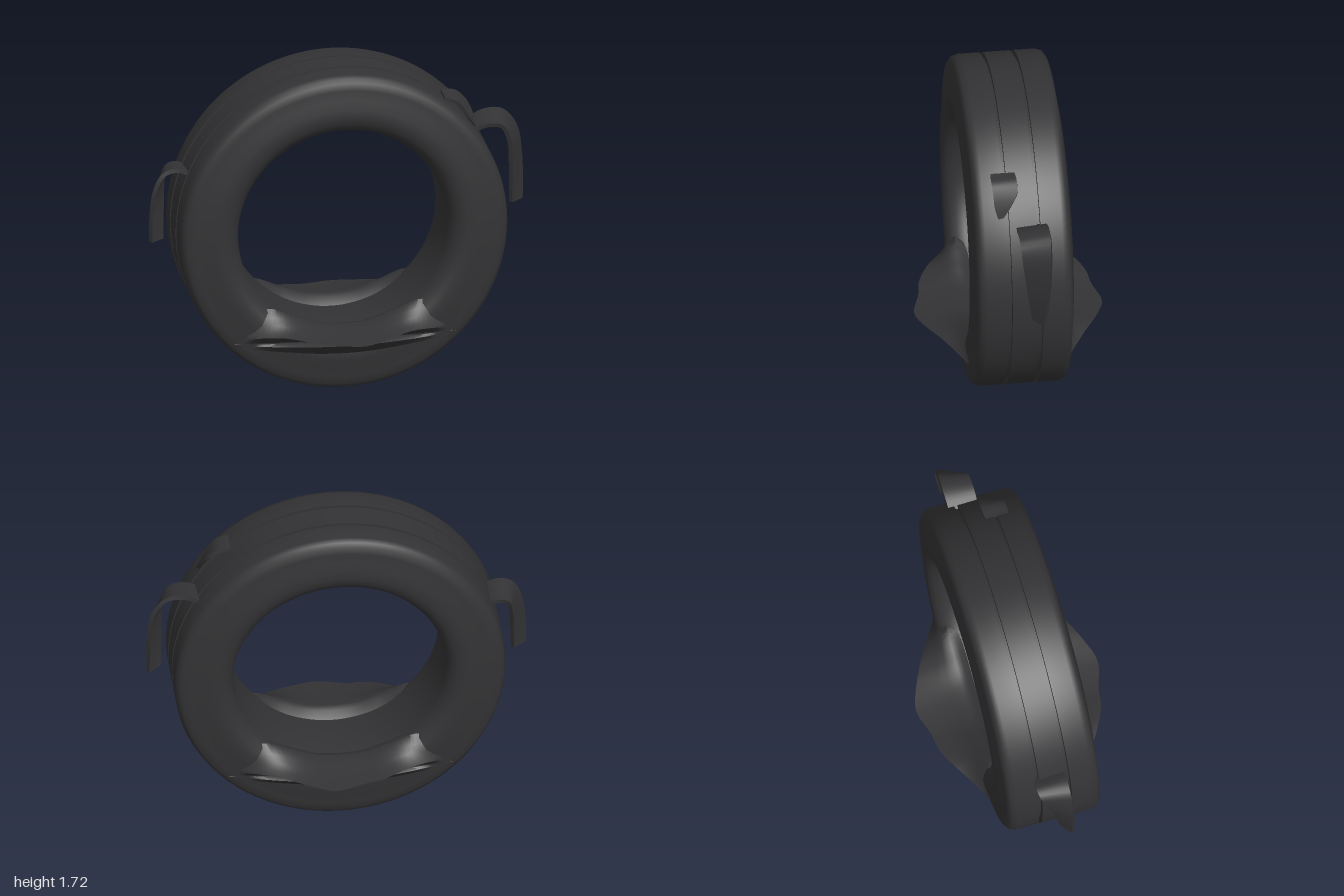
import * as THREE from 'three';
import { toCreasedNormals } from 'three/addons/utils/BufferGeometryUtils.js';

const R = 0.86;
const HOLE = 0.55;
const rubber = new THREE.MeshStandardMaterial({ color: 0x333335, side: THREE.DoubleSide });
const solidRubber = new THREE.MeshStandardMaterial({ color: 0x333335 });
const lerp = THREE.MathUtils.lerp;

// Surface through equal-length rows of points
function loft(rows, closed = false, flip = false, crease = 0.8) {
  const n = rows[0].length;
  const pos = rows.flat().flatMap((p) => [p.x, p.y, p.z]);
  const index = [];
  for (let i = 0; i < rows.length - 1; i++) {
    for (let j = 0; j < (closed ? n : n - 1); j++) {
      const a = i * n + j, b = i * n + (j + 1) % n, c = a + n, d = b + n;
      if (flip) index.push(a, c, b, b, c, d);
      else index.push(a, b, c, b, d, c);
    }
  }
  if (closed) {
    const last = (rows.length - 1) * n;
    for (let j = 1; j < n - 1; j++) {
      index.push(0, j + 1, j, last, last + j, last + j + 1);
    }
  }
  const g = new THREE.BufferGeometry();
  g.setAttribute('position', new THREE.Float32BufferAttribute(pos, 3));
  g.setIndex(index);
  return toCreasedNormals(g, crease);
}

// Interpolates smoothly through [x, value] pairs
function curveThrough(pairs) {
  const spline = new THREE.SplineCurve(pairs.map(([x, v]) => new THREE.Vector2(x, v)));
  const pts = spline.getPoints(100);
  return (x) => {
    let i = 0;
    while (i < pts.length - 2 && pts[i + 1].x < x) i++;
    const t = (x - pts[i].x) / (pts[i + 1].x - pts[i].x);
    return lerp(pts[i].y, pts[i + 1].y, THREE.MathUtils.clamp(t, 0, 1));
  };
}

// Tyre body: closed profile with two tread grooves, rounded shoulders and bead
function makeTyre() {
  const tread = [[0.83, -0.245], [0.85, -0.23], [R, -0.2]];
  for (const z of [-0.08, 0.08]) {
    tread.push([R, z - 0.009], [R - 0.03, z - 0.009], [R - 0.03, z + 0.009], [R, z + 0.009]);
  }
  tread.push([R, 0.2], [0.85, 0.23], [0.83, 0.245]);
  const side = [[0.79, 0.25], [0.74, 0.257], [0.69, 0.267], [0.645, 0.27], [0.61, 0.262],
    [0.58, 0.243], [0.56, 0.21], [HOLE, 0.17]];
  const back = side.map(([r, z]) => [r, -z]).reverse();
  const profile = [...tread, ...side, ...back, tread[0]].map(([r, z]) => new THREE.Vector2(r, z));
  const g = toCreasedNormals(new THREE.LatheGeometry(profile, 112), 0.65);
  const mesh = new THREE.Mesh(g, solidRubber);
  mesh.name = 'tyreBody';
  mesh.rotation.x = Math.PI / 2;
  mesh.position.y = R;
  return mesh;
}

const lipTop = curveThrough([[-0.58, 0.33], [-0.5, 0.41], [-0.4, 0.465], [-0.25, 0.41], [-0.1, 0.362],
  [0.1, 0.362], [0.25, 0.41], [0.4, 0.465], [0.5, 0.41], [0.58, 0.33]]);
const lipReach = curveThrough([[-0.58, -0.02], [-0.5, 0.02], [-0.4, 0.08], [-0.3, 0.14], [-0.2, 0.185],
  [-0.1, 0.2], [0, 0.232], [0.05, 0.238], [0.1, 0.23], [0.2, 0.19], [0.3, 0.14], [0.4, 0.08],
  [0.5, 0.02], [0.58, -0.02]]);
const lipEdge = curveThrough([[-0.58, 0.3], [-0.35, 0.348], [-0.2, 0.338], [-0.1, 0.328], [0.04, 0.322],
  [0.15, 0.33], [0.25, 0.342], [0.35, 0.345], [0.58, 0.3]]);

// Upper lip: a flared ledge sweeping out of the sidewall
function upperLip(side) {
  const rows = [];
  for (let i = 0; i <= 48; i++) {
    const x = lerp(-0.58, 0.58, i / 48);
    const top = lipTop(x), p = lipReach(x), e = lipEdge(x);
    const hole = R - Math.sqrt(Math.max(0.04, HOLE * HOLE - x * x)) - 0.02;
    const section = [[Math.min(hole, top), 0.14], [top - 0.008, 0.19], [top, 0.225],
      [lerp(top, e, 0.3), 0.25 + 0.17 * p], [lerp(top, e, 0.6), 0.25 + 0.42 * p],
      [lerp(top, e, 0.85), 0.25 + 0.72 * p], [e, 0.25 + p],
      [lerp(e, 0.288, 0.6), 0.25 + 0.5 * p], [0.285, 0.25 + 0.1 * p], [0.28, 0.22]];
    rows.push(section.map(([y, z]) => new THREE.Vector3(x, y, z * side)));
  }
  return loft(rows, false, side < 0, 0.9);
}

// Lower lip: a shorter slanted ledge beneath it
function lowerLip(side) {
  const rows = [];
  for (let i = 0; i <= 32; i++) {
    const u = lerp(-1, 1, i / 32), x = u * 0.54;
    const p = 0.1 * Math.pow(Math.cos(u * Math.PI / 2), 0.9) - 0.015;
    const low = 0.195 + 0.07 * u * u;
    const section = [[0.288, 0.2], [0.284, 0.25 + 0.6 * p], [0.272, 0.25 + p],
      [lerp(0.272, low, 0.5), 0.25 + 0.5 * p], [low, 0.25 + 0.08 * p], [low - 0.005, 0.21]];
    rows.push(section.map(([y, z]) => new THREE.Vector3(x, y, z * side)));
  }
  return loft(rows, false, side < 0, 0.7);
}

// Loose strip of rubber: each station gives its two edges [x, y, z, x, y, z]
function makeFlap(name, stations, thickness) {
  const edge = (k) => new THREE.CatmullRomCurve3(
    stations.map((s) => new THREE.Vector3(s[k], s[k + 1], s[k + 2]))).getPoints(20);
  const a = edge(0), b = edge(3);
  const rows = a.map((p, i) => {
    const q = b[i];
    const along = a[Math.min(i + 1, 20)].clone().sub(a[Math.max(i - 1, 0)]);
    const n = along.cross(q.clone().sub(p)).normalize().multiplyScalar(thickness / 2);
    return [p.clone().add(n), q.clone().add(n), q.clone().sub(n), p.clone().sub(n)];
  });
  const g = loft(rows, true, false, 0.7);
  const mesh = new THREE.Mesh(g, rubber);
  mesh.name = name;
  return mesh;
}

export function createModel() {
  const group = new THREE.Group();
  group.name = 'tornTyre';
  group.add(makeTyre());

  // Lips on both sidewalls
  for (const side of [1, -1]) {
    const prefix = side > 0 ? 'front' : 'back';
    for (const [part, build] of [['UpperLip', upperLip], ['LowerLip', lowerLip]]) {
      const mesh = new THREE.Mesh(build(side), rubber);
      mesh.name = prefix + part;
      group.add(mesh);
    }
  }

  // Peeling tread flaps, first edge towards the front
  group.add(makeFlap('leftFlap', [
    [0.71, 1.3, 0.035, 0.71, 1.31, -0.12],
    [0.79, 1.325, 0.035, 0.8, 1.35, -0.125],
    [0.865, 1.31, 0.03, 0.89, 1.345, -0.125],
    [0.905, 1.22, 0.02, 0.96, 1.26, -0.12],
    [0.915, 1.07, 0, 0.985, 1.1, -0.11],
    [0.92, 0.87, -0.03, 0.985, 0.87, -0.085],
  ], 0.022));
  group.add(makeFlap('rightFlap', [
    [-0.77, 1.17, 0.065, -0.77, 1.16, -0.1],
    [-0.85, 1.2, 0.065, -0.84, 1.18, -0.1],
    [-0.92, 1.18, 0.065, -0.885, 1.16, -0.09],
    [-0.965, 1.1, 0.065, -0.905, 1.08, -0.06],
    [-0.985, 0.97, 0.06, -0.915, 0.96, -0.02],
    [-0.988, 0.81, 0.055, -0.92, 0.81, 0.005],
  ], 0.022));
  group.add(makeFlap('upperLeftFlap', [
    [0.54, 1.53, 0.15, 0.54, 1.53, 0.025],
    [0.6, 1.51, 0.15, 0.61, 1.525, 0.02],
    [0.635, 1.47, 0.145, 0.66, 1.485, 0.025],
    [0.67, 1.41, 0.14, 0.69, 1.43, 0.06],
    [0.7, 1.36, 0.125, 0.705, 1.37, 0.1],
  ], 0.018));
  return group;
}
